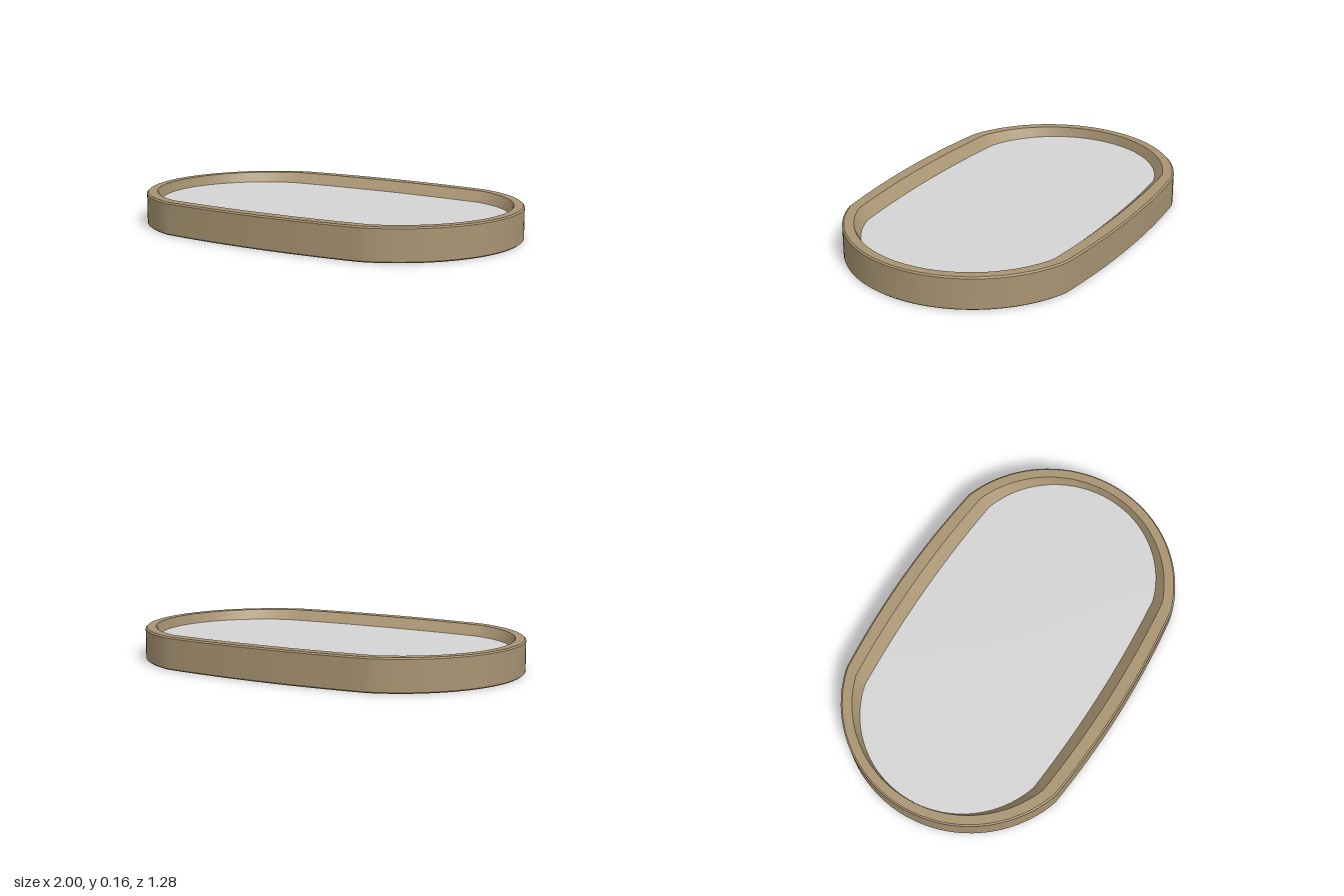
import * as THREE from 'three';

const FLAT = 12, ARC = 24; // steps per quarter outline

// Closed stadium outline: bowed long sides meeting round ends at (jx, jz)
function outline(ax, az, jx, jz, y) {
  const quarter = [];
  const c = (ax * ax - jx * jx - jz * jz) / (2 * (ax - jx));
  const r = ax - c;
  const joint = Math.atan2(jz, jx - c);
  for (let i = 0; i < ARC; i++) {
    const a = (joint * i) / ARC;
    quarter.push([c + r * Math.cos(a), r * Math.sin(a)]);
  }
  for (let i = 0; i <= FLAT; i++) {
    const x = jx * (1 - i / FLAT);
    quarter.push([x, az - (az - jz) * (x / jx) ** 2]);
  }
  const left = quarter.slice(0, -1).reverse().map(([x, z]) => [-x, z]);
  const half = [...quarter, ...left];
  const back = half.slice(1, -1).reverse().map(([x, z]) => [x, -z]);
  return [...half, ...back].map(([x, z]) => new THREE.Vector3(x, y, z));
}

// Smooth strip between two outlines, listed from the lower/outer one inwards
function strip(a, b) {
  const n = a.length, index = [];
  for (let i = 0; i < n; i++) {
    const j = (i + 1) % n;
    index.push(i, n + i, j, j, n + i, n + j);
  }
  const g = new THREE.BufferGeometry().setFromPoints([...a, ...b]);
  g.setIndex(index);
  g.computeVertexNormals();
  return g;
}

const centre = (ring, y) => ring.map(() => new THREE.Vector3(0, y, 0));

export function createModel() {
  const frameMat = new THREE.MeshStandardMaterial({ color: 0xa89472 });
  frameMat.name = 'tan frame';
  const panelMat = new THREE.MeshStandardMaterial({ color: 0xd4d4d4 });
  panelMat.name = 'pale grey panel';

  const group = new THREE.Group();
  group.name = 'ovalTray';
  const add = (name, a, b, mat) => {
    const mesh = new THREE.Mesh(strip(a, b), mat);
    mesh.name = name;
    group.add(mesh);
  };

  const base = outline(0.993, 0.633, 0.556, 0.598, 0);
  const lower = outline(1, 0.64, 0.56, 0.605, 0.006);
  const upper = outline(1, 0.64, 0.56, 0.605, 0.156);
  const rimOuter = outline(0.993, 0.632, 0.556, 0.597, 0.163);
  const rimInner = outline(0.95, 0.572, 0.567, 0.541, 0.163);
  const panelEdge = outline(0.94, 0.517, 0.57, 0.49, 0.113);

  // Frame, from the underside up over the rim
  add('underside', centre(base, 0), base, frameMat);
  add('lowerBevel', base, lower, frameMat);
  add('outerWall', lower, upper, frameMat);
  add('upperBevel', upper, rimOuter, frameMat);
  add('rimTop', rimOuter, rimInner, frameMat);
  add('innerSlope', rimInner, panelEdge, frameMat);

  // Recessed panel
  add('panel', panelEdge, centre(panelEdge, 0.113), panelMat);
  return group;
}
